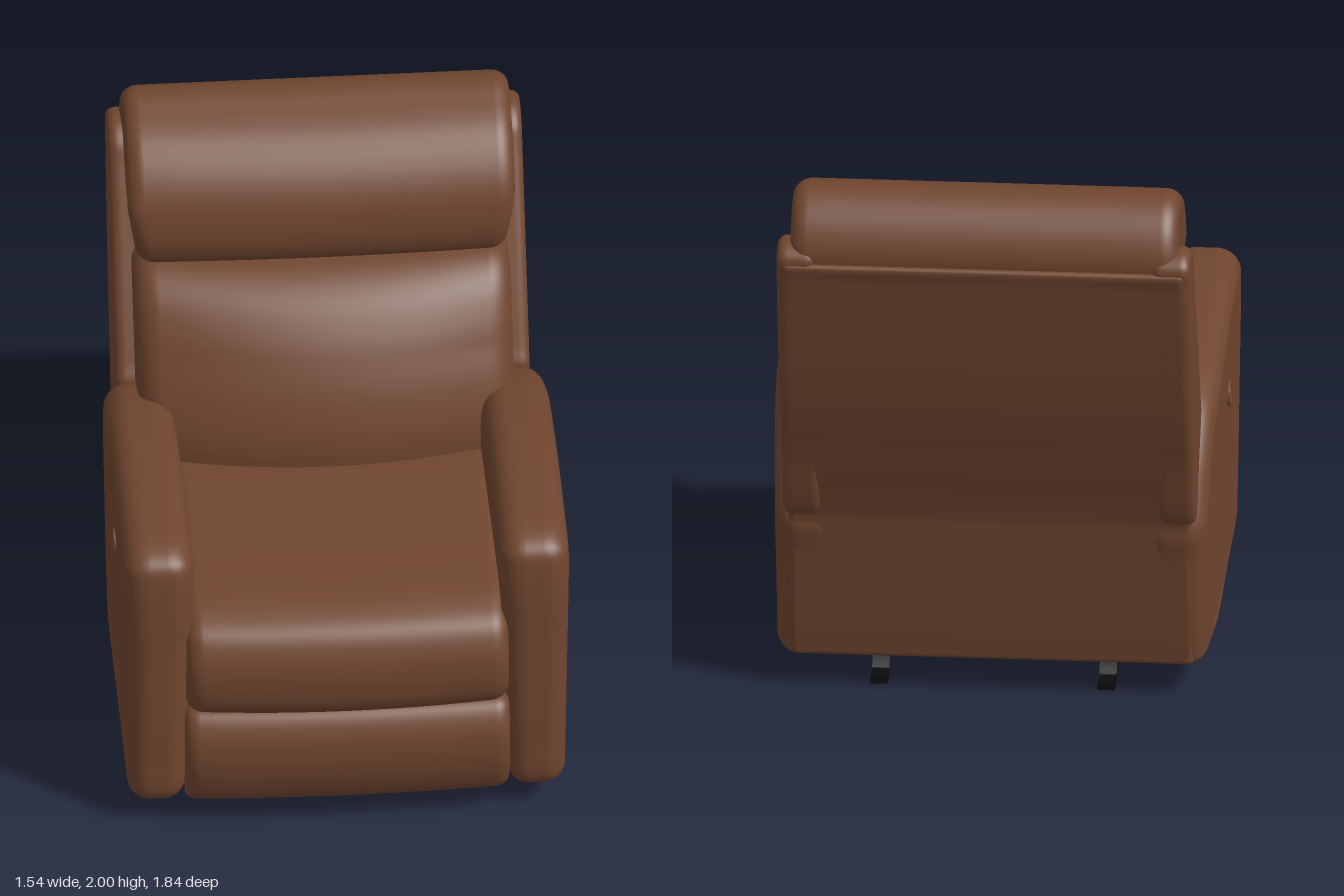
import * as THREE from 'three';

const leather = new THREE.MeshStandardMaterial({ color: 0x70462f });
leather.name = 'brownLeather';
const metal = new THREE.MeshStandardMaterial({ color: 0x0b0b0b });
metal.name = 'blackMetal';

// Padded solid: a closed side profile of [z, y] points carried across x,
// with ends rounded over rx (in x) and inset (in the profile plane).
function padded(profile, half, rx, inset, warp) {
  const curve = new THREE.CatmullRomCurve3(
    profile.map(([z, y]) => new THREE.Vector3(z, y, 0)), true, 'centripetal');
  let pts = curve.getPoints(profile.length * 7).slice(0, -1).map(p => new THREE.Vector2(p.x, p.y));
  if (THREE.ShapeUtils.isClockWise(pts)) pts.reverse();
  const n = pts.length;
  const normals = pts.map((p, j) => {
    const t = pts[(j + 1) % n].clone().sub(pts[(j + n - 1) % n]).normalize();
    return new THREE.Vector2(t.y, -t.x);
  });

  // Stations across the width: rounded end, straight middle, rounded end
  const stations = [];
  for (let k = 0; k <= 8; k++) {
    const a = (k / 8) * Math.PI / 2;
    stations.push([-(half - rx) - rx * Math.cos(a), inset * (1 - Math.sin(a))]);
  }
  const mirrored = stations.map(([x, d]) => [-x, d]).reverse();
  for (let k = 1; k < 12; k++) stations.push([(half - rx) * (k / 6 - 1), 0]);
  stations.push(...mirrored);

  const pos = [], idx = [], v = new THREE.Vector3();
  for (const [x, d] of stations) {
    pts.forEach((p, j) => {
      v.set(x, p.y - normals[j].y * d, p.x - normals[j].x * d);
      if (warp) warp(v);
      pos.push(v.x, v.y, v.z);
    });
  }
  for (let i = 0; i < stations.length - 1; i++) {
    for (let j = 0; j < n; j++) {
      const a = i * n + j, b = i * n + (j + 1) % n;
      idx.push(a, a + n, b, b, a + n, b + n);
    }
  }
  const last = (stations.length - 1) * n;
  for (const [a, b, c] of THREE.ShapeUtils.triangulateShape(pts, [])) {
    idx.push(a, b, c, last + a, last + c, last + b);
  }
  const g = new THREE.BufferGeometry();
  g.setAttribute('position', new THREE.Float32BufferAttribute(pos, 3));
  g.setIndex(idx);
  g.computeVertexNormals();
  return g;
}

export function createModel() {
  const model = new THREE.Group();
  model.name = 'recliner';
  const add = (name, geo, mat = leather, parent = model) => {
    const m = new THREE.Mesh(geo, mat);
    m.name = name;
    parent.add(m);
    return m;
  };
  const box = (name, w, h, d, x, y, z, mat, parent) =>
    add(name, new THREE.BoxGeometry(w, h, d), mat, parent).position.set(x, y, z);

  // Arms, slimmer towards the floor and the back
  const armProfile = [
    [0.79, 0.095], [0.83, 0.14], [0.842, 0.3], [0.85, 0.7], [0.85, 1.02], [0.83, 1.11], [0.76, 1.15],
    [0.5, 1.163], [0.2, 1.155], [0, 1.13], [-0.2, 1.09], [-0.35, 1.03], [-0.46, 0.92], [-0.55, 0.77],
    [-0.592, 0.67], [-0.565, 0.52], [-0.495, 0.17], [-0.47, 0.12], [-0.3, 0.095], [0, 0.082], [0.4, 0.085]];
  for (const s of [1, -1]) {
    add(s > 0 ? 'leftArm' : 'rightArm', padded(armProfile, 0.12, 0.085, 0.08, v => {
      const low = THREE.MathUtils.clamp((1.0 - v.y) / 0.9, 0, 1);
      const back = THREE.MathUtils.clamp((-0.15 - v.z) / 0.45, 0, 1);
      v.x = v.x * (1 - 0.17 * low) + s * (0.65 + 0.007 * low - 0.02 * back);
    }));
  }

  // Seat cushion and closed footrest
  add('seatCushion', padded([
    [0.82, 0.49], [0.87, 0.505], [0.905, 0.56], [0.92, 0.66], [0.905, 0.75], [0.86, 0.825],
    [0.76, 0.87], [0.6, 0.888], [0.3, 0.897], [-0.1, 0.89], [-0.3, 0.85], [-0.33, 0.6], [-0.2, 0.5], [0.4, 0.49]],
  0.557, 0.06, 0.05, v => {
    const c = 1 - (v.x / 0.557) ** 2;
    if (v.z > 0.6) v.z -= 0.02 * (1 - c);
    if (v.y < 0.6) v.y -= 0.012 * c;
  }));
  add('footrest', padded([
    [0.74, 0.095], [0.81, 0.095], [0.86, 0.125], [0.905, 0.22], [0.922, 0.33], [0.91, 0.42],
    [0.87, 0.485], [0.8, 0.5], [0.72, 0.49], [0.69, 0.4], [0.69, 0.2]],
  0.56, 0.05, 0.035, v => { if (v.z > 0.8) v.z -= 0.02 * (v.x / 0.56) ** 2; }));

  // Lower back cushion, bowed forward in the middle
  add('backCushion', padded([
    [-0.02, 0.8], [0.0, 0.9], [-0.005, 1.0], [-0.04, 1.12], [-0.085, 1.22], [-0.15, 1.33], [-0.24, 1.43],
    [-0.34, 1.485], [-0.44, 1.5], [-0.6, 1.48], [-0.7, 1.4], [-0.64, 1.1], [-0.5, 0.8], [-0.25, 0.74]],
  0.65, 0.08, 0.07, v => {
    const front = THREE.MathUtils.clamp((v.z + 0.5) / 0.4, 0, 1);
    v.z -= 0.11 * front * (v.x / 0.65) ** 2;
  }));

  // Head cushion, slightly narrower at its lower edge
  add('headCushion', padded([
    [-0.4, 1.5], [-0.367, 1.56], [-0.358, 1.64], [-0.375, 1.74], [-0.43, 1.84], [-0.52, 1.925], [-0.63, 1.975],
    [-0.73, 2.0], [-0.81, 1.97], [-0.875, 1.9], [-0.908, 1.8], [-0.885, 1.7], [-0.8, 1.55], [-0.65, 1.48], [-0.48, 1.48]],
  0.67, 0.06, 0.05, v => {
    const u = (v.x / 0.67) ** 2;
    if (v.z > -0.6) v.z -= 0.08 * (v.z + 0.6) * u;
    v.x *= 1 - 0.05 * THREE.MathUtils.clamp((1.72 - v.y) / 0.22, 0, 1);
  }));

  // Back panel from floor level up to the head cushion
  add('backPanel', padded([
    [-0.918, 1.765], [-0.905, 1.7], [-0.785, 1.22], [-0.69, 0.95], [-0.6, 0.7], [-0.59, 0.65], [-0.56, 0.49],
    [-0.497, 0.16], [-0.485, 0.125], [-0.43, 0.125], [-0.42, 0.16], [-0.5, 0.62], [-0.53, 0.72],
    [-0.7, 1.22], [-0.83, 1.72], [-0.85, 1.765]],
  0.7, 0.025, 0.025));

  // Side wings of the back
  const wingProfile = [
    [-0.34, 1.03], [-0.37, 1.1], [-0.5, 1.36], [-0.68, 1.71], [-0.725, 1.79], [-0.79, 1.83], [-0.87, 1.83],
    [-0.915, 1.79], [-0.905, 1.71], [-0.785, 1.22], [-0.69, 0.95], [-0.6, 0.7], [-0.55, 0.7], [-0.4, 0.92]];
  for (const s of [1, -1]) {
    add(s > 0 ? 'leftWing' : 'rightWing',
      padded(wingProfile, 0.068, 0.035, 0.03, v => { v.x += s * 0.648; }));
  }

  // Body under the seat
  box('seatBase', 1.14, 0.46, 1.18, 0, 0.39, 0.14, leather);

  // Recline button on the right arm
  const button = new THREE.Group();
  button.name = 'reclineButton';
  button.position.set(-0.766, 0.82, 0.27);
  button.rotation.y = -Math.PI / 2;
  model.add(button);
  add('buttonRim', new THREE.TorusGeometry(0.04, 0.007, 8, 28), leather, button);
  const cap = add('buttonCap', new THREE.CylinderGeometry(0.022, 0.024, 0.012, 20), leather, button);
  cap.rotation.x = Math.PI / 2;

  // Metal frame: side rails, cross bars and bent feet
  const frame = new THREE.Group();
  frame.name = 'metalFrame';
  model.add(frame);
  const foot = (z0, dir) => {
    const path = [[0, 0.12], [0.02, 0.085], [0.05, 0.035], [0.075, 0.015], [0.15, 0.014]];
    const at = ([d, y]) => new THREE.Vector2(z0 + dir * d, y);
    const line = new THREE.SplineCurve(path.map(at)).getPoints(20);
    const offset = (sgn) => line.map((p, i) => {
      const t = line[Math.min(i + 1, 20)].clone().sub(line[Math.max(i - 1, 0)]).normalize();
      return new THREE.Vector2(p.x - t.y * sgn * 0.011, p.y + t.x * sgn * 0.011);
    });
    const shape = new THREE.Shape([...offset(1), ...offset(-1).reverse()]);
    return new THREE.ExtrudeGeometry(shape, { depth: 0.06, bevelEnabled: false })
      .translate(0, 0, -0.03).rotateY(-Math.PI / 2);
  };
  for (const s of [1, -1]) {
    const x = s * 0.393;
    box('sideRail', 0.05, 0.035, 0.84, x, 0.125, 0.105, metal, frame);
    add('frontFoot', foot(0.515, 1), metal, frame).position.x = x;
    add('rearFoot', foot(-0.3, -1), metal, frame).position.x = x;
  }
  for (const z of [0.45, -0.24]) box('crossBar', 0.8, 0.03, 0.035, 0, 0.125, z, metal, frame);

  return model;
}
